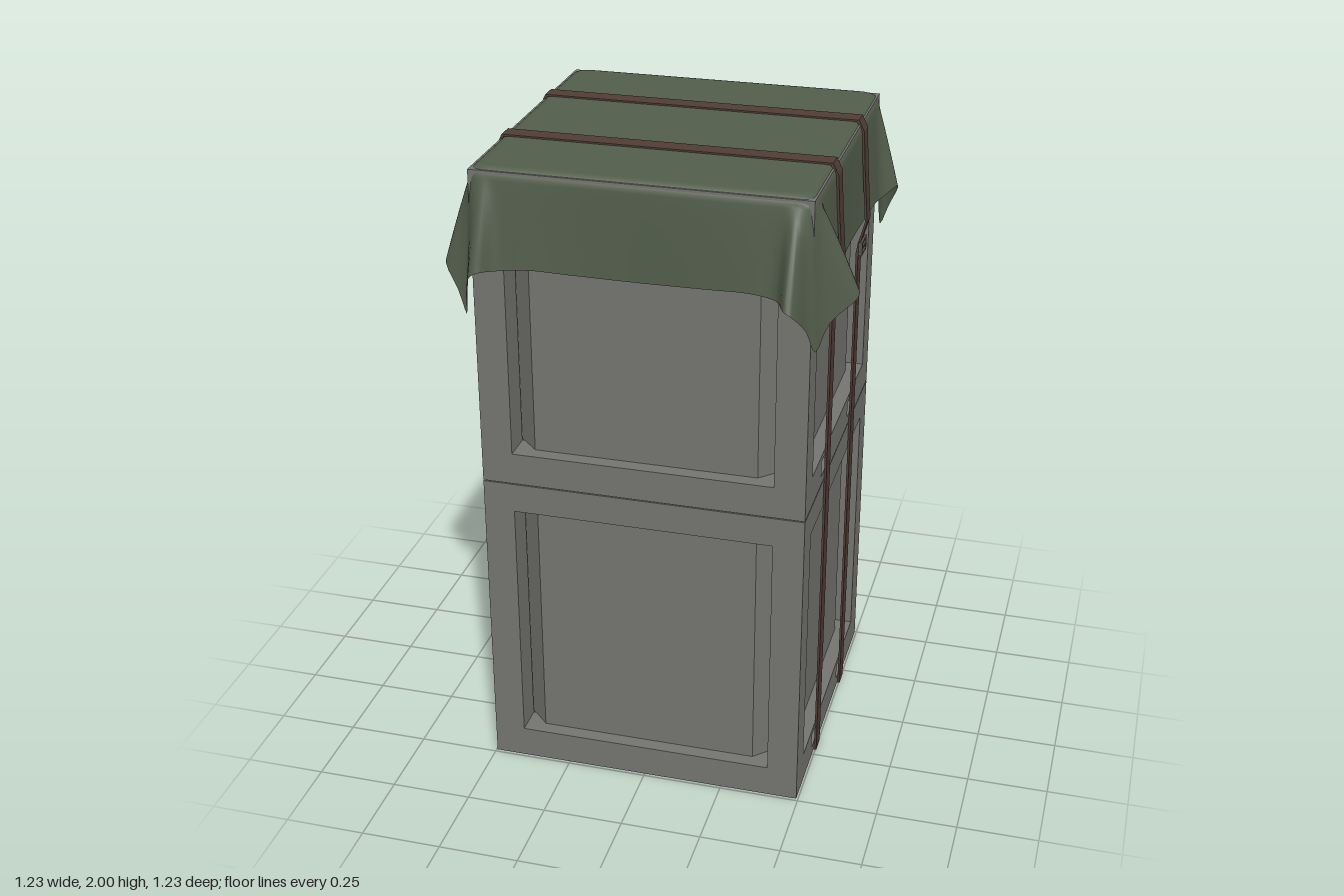
import * as THREE from 'three';

const mat = (name, color, side = THREE.FrontSide) => {
  const m = new THREE.MeshStandardMaterial({ color, side });
  m.name = name;
  return m;
};

function add(parent, name, geometry, material, x = 0, y = 0, z = 0) {
  const mesh = new THREE.Mesh(geometry, material);
  mesh.name = name;
  mesh.position.set(x, y, z);
  parent.add(mesh);
  return mesh;
}

const path = (pts) => new THREE.Path(pts.map(([x, y]) => new THREE.Vector2(x, y)));
const shape = (pts) => new THREE.Shape(pts.map(([x, y]) => new THREE.Vector2(x, y)));
const rect = (x0, y0, x1, y1) => [[x0, y0], [x1, y0], [x1, y1], [x0, y1]];
const extrude = (s, depth) => new THREE.ExtrudeGeometry(s, { depth, bevelEnabled: false });

const W = 0.495;   // half width of a crate
const BAR = 0.095; // thickness of the frame bars

function makeCrate(height, grey) {
  const crate = new THREE.Group();

  // Side frames: a window plus two strap slots in the lower bar
  const side = shape(rect(-W, 0, W, height));
  side.holes.push(path(rect(-0.4, 0.1, 0.4, 0.9)));
  for (const s of [-0.205, 0.205]) side.holes.push(path(rect(s - 0.06, 0.03, s + 0.06, 0.08)));
  const sideGeo = extrude(side, BAR).rotateY(Math.PI / 2);
  add(crate, 'leftFrame', sideGeo, grey, W - BAR);
  add(crate, 'rightFrame', sideGeo, grey, -W);

  // Front and back cross bars between the side frames
  for (const [name, s] of [['front', 1], ['back', -1]]) {
    const z = s * (W - BAR / 2);
    add(crate, name + 'LowerBar', new THREE.BoxGeometry(0.8, 0.1, BAR), grey, 0, 0.05, z);
    add(crate, name + 'UpperBar', new THREE.BoxGeometry(0.8, height - 0.9, BAR), grey, 0, (height + 0.9) / 2, z);
  }

  // Inner body with chamfered upright edges
  const a = 0.45, b = 0.342;
  const octagon = shape([[a, -b], [a, b], [b, a], [-b, a], [-a, b], [-a, -b], [-b, -a], [b, -a]]);
  add(crate, 'innerBody', extrude(octagon, 0.82).rotateX(-Math.PI / 2), grey, 0, 0.09, 0);
  return crate;
}

// Rim and hem points of one tarp corner, from the middle of the x side to the middle of the z side
function tarpCorner(sx, sz, xTip, zTip) {
  const half = ([out, along], midY) => [
    [0.5, 0, 0.506, 0, midY],
    [0.5, 0.2, 0.514, 0.2, midY + 0.005],
    [0.5, 0.34, 0.524, 0.33, midY + 0.01],
    [0.5, 0.41, 0.53, along - 0.05, midY],
    [0.5, 0.44, out, along - 0.012, 1.705],
    [0.5, 0.455, out, along + 0.012, 1.69],
    [0.498, 0.475, 0.54, Math.min(along + 0.04, 0.5), 1.62],
  ];
  const xSide = half(xTip, 1.675);
  const zSide = half(zTip, 1.7).map(([ro, ra, ho, ha, y]) => [ra, ro, ha, ho, y]).reverse();
  return [...xSide, [0.49, 0.49, 0.512, 0.512, 1.55], ...zSide]
    .map(([rx, rz, hx, hz, y]) => ({
      rim: new THREE.Vector3(rx * sx, 0, rz * sz),
      hem: new THREE.Vector3(hx * sx, y, hz * sz),
    }));
}

function makeTarpGeometry() {
  const quads = [
    tarpCorner(1, 1, [0.61, 0.42], [0.61, 0.45]),
    tarpCorner(-1, 1, [0.58, 0.47], [0.57, 0.465]).reverse(),
    tarpCorner(-1, -1, [0.61, 0.42], [0.61, 0.45]),
    tarpCorner(1, -1, [0.57, 0.46], [0.575, 0.475]).reverse(),
  ];
  const cols = quads.flatMap((q) => q.slice(0, -1));
  const rimCurve = new THREE.CatmullRomCurve3(cols.map((c) => c.rim), true);
  const hemCurve = new THREE.CatmullRomCurve3(cols.map((c) => c.hem), true);
  const n = cols.length * 3, top = 1.995, r = 0.035, bend = 5, drop = 8;
  const pos = [0, top, 0], index = [];
  const rows = bend + 1 + drop;
  for (let k = 0; k < rows; k++) {
    for (let j = 0; j < n; j++) {
      const rim = rimCurve.getPoint(j / n);
      if (k <= bend) {
        // Rounded upper edge
        const angle = (k / bend) * Math.PI / 2;
        const scale = 1 - (r * (1 - Math.sin(angle))) / 0.5;
        pos.push(rim.x * scale, top - r * (1 - Math.cos(angle)), rim.z * scale);
      } else {
        // Hanging sides flaring out to the hem
        const t = (k - bend) / drop, hem = hemCurve.getPoint(j / n), f = Math.pow(t, 0.9);
        pos.push(rim.x + (hem.x - rim.x) * f, top - r + (hem.y - top + r) * t, rim.z + (hem.z - rim.z) * f);
      }
    }
  }
  for (let j = 0; j < n; j++) {
    const j1 = (j + 1) % n;
    index.push(0, 1 + j1, 1 + j);
    for (let k = 0; k < rows - 1; k++) {
      const a = 1 + k * n + j, b = 1 + k * n + j1;
      index.push(a, b, a + n, b, b + n, a + n);
    }
  }
  const geo = new THREE.BufferGeometry();
  geo.setAttribute('position', new THREE.Float32BufferAttribute(pos, 3));
  geo.setIndex(index);
  geo.computeVertexNormals();
  return geo;
}

// Closed strap loop running under, up both sides and over the tarp
function makeStrapGeometry(width) {
  const outer = [[0.503, 0], [0.503, 1.58], [0.508, 1.61], [0.527, 1.68], [0.513, 1.86], [0.507, 1.965], [0.49, 2]];
  const inner = outer.map(([x, y], i) => [x - 0.007, i === 0 ? 0.007 : i === 6 ? 1.994 : y]);
  const loop = (half) => [...half, ...half.map(([x, y]) => [-x, y]).reverse()];
  const s = shape(loop(outer));
  s.holes.push(path(loop(inner)));
  return extrude(s, width).translate(0, 0, -width / 2);
}

// Open rectangular buckle lying in the y-z plane
function makeBuckleGeometry() {
  const s = shape(rect(-0.036, -0.022, 0.036, 0.022));
  s.holes.push(path(rect(-0.029, 0.004, 0.029, 0.015)));
  s.holes.push(path(rect(-0.029, -0.015, 0.029, -0.004)));
  return extrude(s, 0.012).rotateY(Math.PI / 2).translate(-0.006, 0, 0);
}

export function createModel() {
  const grey = mat('crateGrey', 0x74746f);
  const green = mat('tarpGreen', 0x525d4b, THREE.DoubleSide);
  const brown = mat('strapBrown', 0x503c35);
  const metal = mat('buckleMetal', 0x56524d);

  const model = new THREE.Group();
  model.name = 'strappedCrates';

  const lower = makeCrate(0.993, grey);
  lower.name = 'lowerCrate';
  lower.position.y = 0.004;
  const upper = makeCrate(0.985, grey);
  upper.name = 'upperCrate';
  upper.position.y = 1;
  model.add(lower, upper);

  add(model, 'tarp', makeTarpGeometry(), green);

  const strapGeo = makeStrapGeometry(0.056);
  const buckleGeo = makeBuckleGeometry();
  for (const [name, z] of [['front', 0.196], ['back', -0.2]]) {
    add(model, name + 'Strap', strapGeo, brown, 0, 0, z);
    for (const [sideName, s] of [['Left', 1], ['Right', -1]]) {
      add(model, name + sideName + 'Buckle', buckleGeo, metal, s * 0.511, 1.595, z);
    }
  }
  return model;
}
